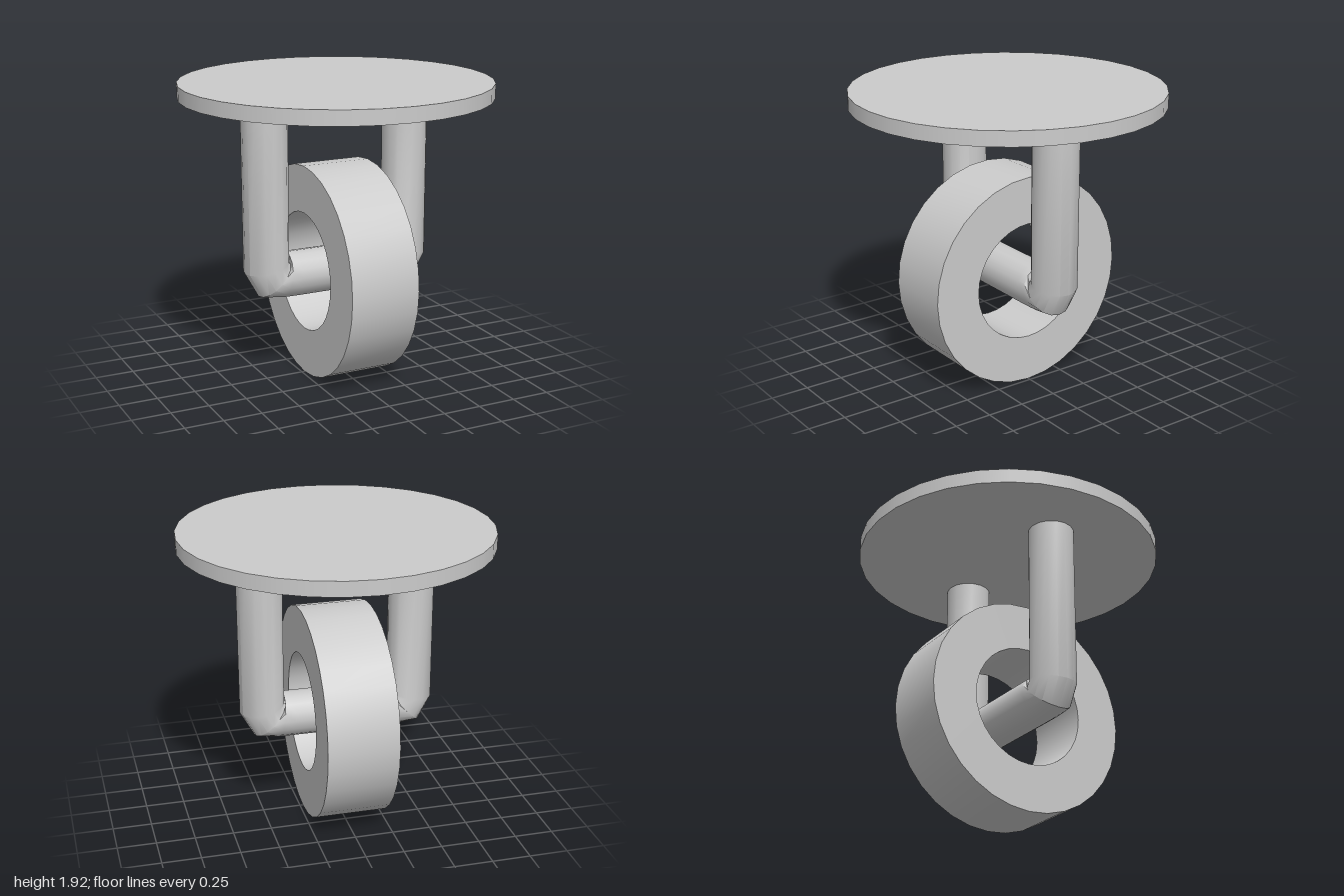
import * as THREE from 'three';
import { toCreasedNormals } from 'three/addons/utils/BufferGeometryUtils.js';

const SIDES = 16, TUBE_R = 0.148, AXLE_Y = 0.697;

// Round bar swept through rings of [x, y, outward angle in degrees]
function sweptBar(rings) {
  const pos = [], index = [];
  rings.forEach(([x, y, deg], i) => {
    const t = THREE.MathUtils.degToRad(deg);
    for (let j = 0; j < SIDES; j++) {
      const a = (j / SIDES) * Math.PI * 2, c = Math.cos(a) * TUBE_R;
      pos.push(x + c * Math.cos(t), y + c * Math.sin(t), Math.sin(a) * TUBE_R);
      if (i === rings.length - 1) continue;
      const p = i * SIDES + j, q = i * SIDES + (j + 1) % SIDES;
      index.push(p, p + SIDES, q, q, p + SIDES, q + SIDES);
    }
  });
  const g = new THREE.BufferGeometry();
  g.setAttribute('position', new THREE.Float32BufferAttribute(pos, 3));
  g.setIndex(index);
  return toCreasedNormals(g, 0.6);
}

export function createModel() {
  const group = new THREE.Group();
  const material = new THREE.MeshStandardMaterial({ color: 0xcccccc });
  const add = (name, geometry) => {
    const mesh = new THREE.Mesh(geometry, material);
    mesh.name = name;
    group.add(mesh);
    return mesh;
  };

  // Round mounting plate
  add('mountingPlate', new THREE.CylinderGeometry(1, 1, 0.095, 32)).position.y = 1.877;

  // U-shaped fork: two legs and the axle in one bent bar
  const half = [
    [-0.495, 1.84, 180], [-0.495, 0.76, 190], [-0.447, 0.677, 225], [-0.375, 0.696, 262], [-0.3, 0.696, 270],
  ];
  const mirrored = half.map(([x, y, d]) => [-x, y, 540 - d]).reverse();
  add('forkAndAxle', sweptBar([...half, ...mirrored]));

  // Ring-shaped wheel, axis along x
  const profile = [[0.39, -0.23], [0.697, -0.23], [0.697, 0.23], [0.39, 0.23], [0.39, -0.23]]
    .map(([r, h]) => new THREE.Vector2(r, h));
  const wheel = add('wheel', toCreasedNormals(new THREE.LatheGeometry(profile, 32), 0.6));
  wheel.rotation.z = Math.PI / 2;
  wheel.position.y = AXLE_Y;

  return group;
}
